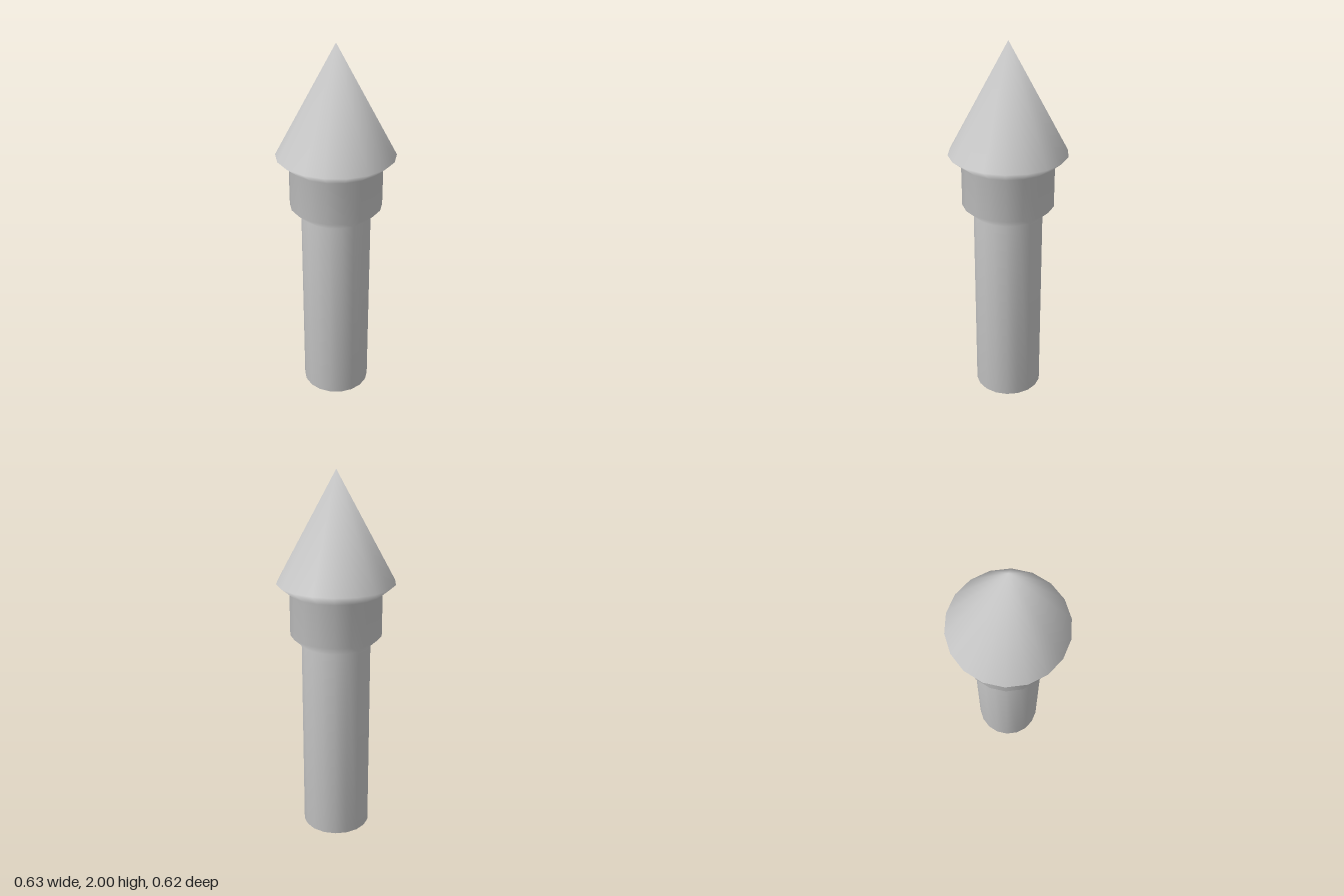
import * as THREE from 'three';

const SIDES = 18;

export function createModel() {
  const group = new THREE.Group();
  group.name = 'pointedPost';

  // Half profile from the centre of the base up to the tip
  const profile = [
    [0, 0], [0.187, 0],            // flat base
    [0.187, 1.085],                // shaft
    [0.247, 1.14], [0.247, 1.368], // collar
    [0.315, 1.423],                // flared rim
    [0, 2],                        // cone tip
  ].map(([r, y]) => new THREE.Vector2(r, y));

  // One continuous, smoothly shaded skin with a corner on the x axis
  const geometry = new THREE.LatheGeometry(profile, SIDES, Math.PI / 2);

  // The tip shares a single upward normal
  const normal = geometry.attributes.normal;
  for (let i = profile.length - 1; i < normal.count; i += profile.length) {
    normal.setXYZ(i, 0, 1, 0);
  }

  const post = new THREE.Mesh(geometry, new THREE.MeshStandardMaterial({ color: 0xcccccc }));
  post.name = 'shaftCollarAndTip';
  group.add(post);
  return group;
}
